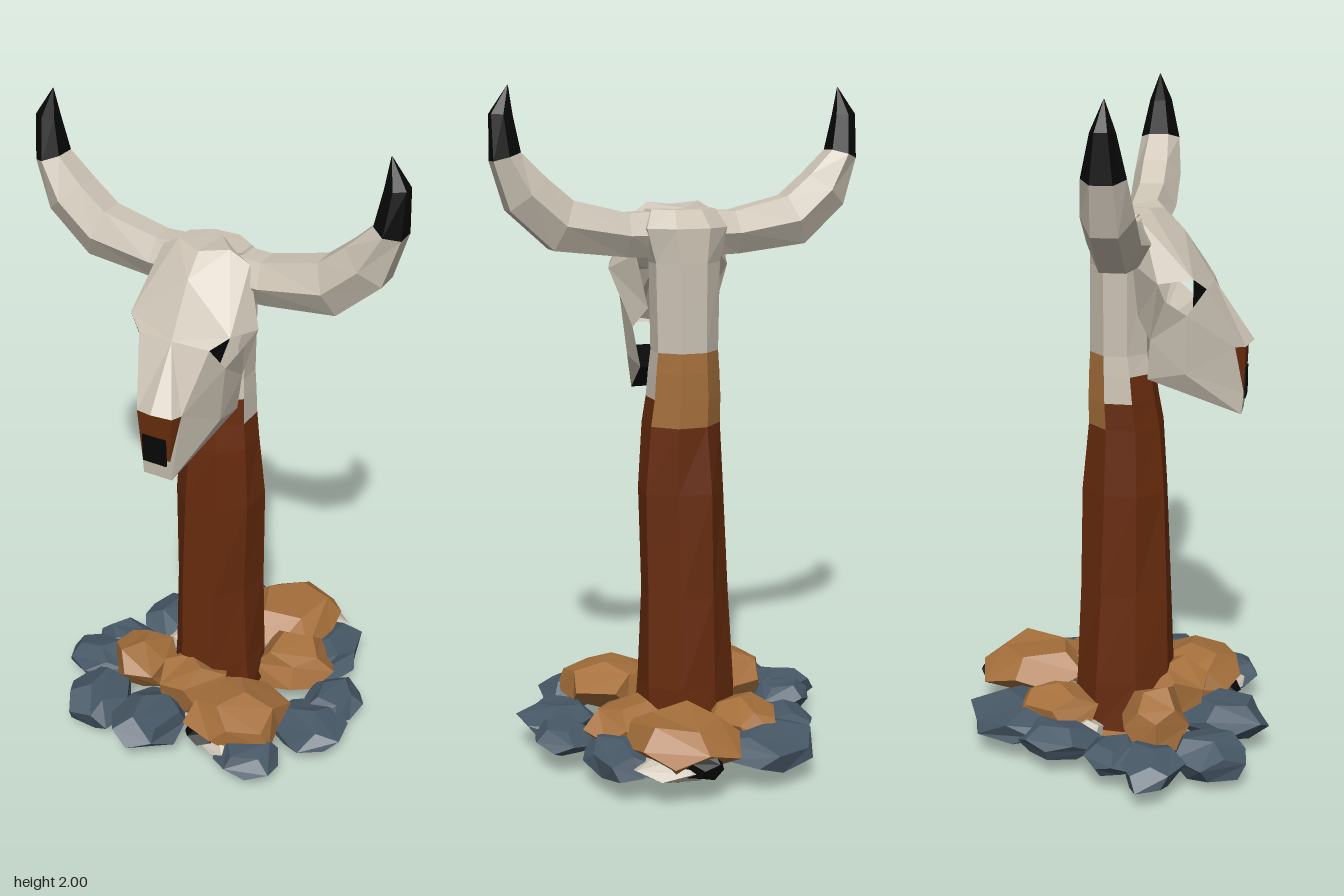
import * as THREE from 'three';

const mat = (name, color, side = THREE.FrontSide) => {
  const m = new THREE.MeshStandardMaterial({ color, flatShading: true, side });
  m.name = name;
  return m;
};

export function createModel() {
  const bone = mat('bone', 0xcbc2b3, THREE.DoubleSide);
  const wood = mat('wood', 0x672b0d);
  const tan = mat('tan stone', 0xa56f3b);
  const slate = mat('slate stone', 0x475866);
  const black = mat('black', 0x070707, THREE.DoubleSide);
  const palette = [bone, wood, tan, slate, black];

  const group = new THREE.Group();
  const add = (name, geometry, material) => {
    const mesh = new THREE.Mesh(geometry, material);
    mesh.name = name;
    group.add(mesh);
    return mesh;
  };

  // Flat-faced geometry from polygons, each { pts, m }, fanned into triangles
  const polygons = (polys) => {
    const pos = [];
    const geo = new THREE.BufferGeometry();
    polys.forEach(({ pts, m }) => {
      const start = pos.length / 3;
      for (let i = 1; i < pts.length - 1; i++) {
        [pts[0], pts[i], pts[i + 1]].forEach((p) => pos.push(p.x, p.y, p.z));
      }
      geo.addGroup(start, pos.length / 3 - start, palette.indexOf(m));
    });
    geo.setAttribute('position', new THREE.Float32BufferAttribute(pos, 3));
    geo.computeVertexNormals();
    return geo;
  };

  // Skin over closed rings of points, with a colour rule per segment and side
  const loft = (rings, colour) => {
    const polys = [];
    const n = rings[0].length;
    for (let i = 0; i < rings.length - 1; i++) {
      for (let j = 0; j < n; j++) {
        const k = (j + 1) % n;
        const a = rings[i], b = rings[i + 1];
        polys.push({ pts: [a[j], a[k], b[k], b[j]], m: colour(i, j) });
      }
    }
    polys.push({ pts: rings[rings.length - 1], m: colour(rings.length - 2, 0) });
    polys.push({ pts: [...rings[0]].reverse(), m: colour(0, 0) });
    return polygons(polys);
  };

  // Eight-sided upright ring
  const flatRing = ([y, cx, cz, rx, rz], i, rough) =>
    Array.from({ length: 8 }, (_, j) => {
      const a = ((j + 0.5) * Math.PI) / 4;
      const k = 1.07 + rough * Math.sin(j * 2.6 + i * 1.1);
      return new THREE.Vector3(cx + Math.sin(a) * rx * k, y, cz + Math.cos(a) * rz * k);
    });

  // Post: rough trunk, then the pale and tan neck that flares into the cranium
  const trunk = [
    [0.06, 0.0, 0.0, 0.14, 0.15], [0.22, 0.0, 0.005, 0.135, 0.145], [0.5, 0.0, 0.01, 0.125, 0.13],
    [0.82, 0.005, 0.012, 0.124, 0.12], [1.02, 0.005, 0.012, 0.11, 0.107],
  ];
  const neck = [
    [1.02, 0.005, 0.012, 0.11, 0.107], [1.1, 0, 0.005, 0.105, 0.1], [1.18, 0, 0.0, 0.1, 0.093],
    [1.24, 0, -0.005, 0.095, 0.085], [1.5, 0, -0.005, 0.1, 0.083], [1.6, 0, 0.0, 0.125, 0.085],
    [1.652, 0, 0.03, 0.1, 0.07],
  ];
  add('post', loft(trunk.map((r, i) => flatRing(r, i, i === 4 ? 0 : 0.06)), () => wood), palette);
  const neckColour = (i, j) => {
    if (j >= 2 && j <= 4) return i < 3 ? tan : bone;
    if (j === 1 || j === 5) return i < 1 ? wood : bone;
    return i < 2 ? wood : bone;
  };
  add('neck', loft(neck.map((r, i) => flatRing(r, i, 0)), neckColour), palette);

  // Horns: six-sided tapering sweeps with black tips
  const hornPath = [
    [0.06, 1.58, 0.07, 0.068], [0.17, 1.58, 0.066, 0.07], [0.36, 1.612, 0.08, 0.073],
    [0.46, 1.7, 0.074, 0.073], [0.518, 1.805, 0.043, 0.06], [0.527, 1.92, 0.032, 0.034], [0.505, 2.0, 0.001, 0.001],
  ];
  [1, -1].forEach((s) => {
    const rings = hornPath.map(([x, y, r, rz], i) => {
      const p = hornPath[Math.max(i - 1, 0)];
      const q = hornPath[Math.min(i + 1, hornPath.length - 1)];
      const d = new THREE.Vector2(s * (q[0] - p[0]), q[1] - p[1]).normalize();
      return Array.from({ length: 6 }, (_, j) => {
        const a = (j * Math.PI) / 3;
        const u = Math.sin(a) * r * 1.1;
        return new THREE.Vector3(s * x + d.y * u, y - d.x * u, 0.037 + Math.cos(a) * rz);
      });
    });
    add(s > 0 ? 'leftHorn' : 'rightHorn', loft(rings, (i) => (i < 4 ? bone : black)), palette);
  });

  // Skull: named points of one half, mirrored across x
  const P = {
    crownBack: [0, 1.655, -0.01], crown: [0.08, 1.67, 0.09], crownMid: [0, 1.66, 0.12],
    root: [0.135, 1.635, 0.08], rootLow: [0.13, 1.52, 0.05],
    forehead: [0, 1.6, 0.18], bridge: [0, 1.455, 0.27], noseTop: [0, 1.285, 0.388],
    browFront: [0.155, 1.485, 0.225], brow: [0.19, 1.475, 0.13],
    eyeBack: [0.155, 1.42, 0.145], eyeLow: [0.13, 1.375, 0.205], eyeFront: [0.11, 1.45, 0.258],
    noseSide: [0.055, 1.275, 0.368], noseRear: [0.068, 1.275, 0.338],
    cheek: [0.125, 1.3, 0.1], jaw: [0.105, 1.18, 0.09],
    muzzle: [0.11, 1.2, 0.2], lip: [0.045, 1.07, 0.358], nostril: [0.045, 1.135, 0.364],
    templeBack: [0.09, 1.36, 0.06], lidInner: [0.122, 1.395, 0.222],
  };
  const halfFaces = [
    'crownBack crown crownMid', 'crownBack root crown', 'crownMid crown forehead', 'crown browFront forehead',
    'crown root browFront', 'root brow browFront', 'root rootLow brow', 'rootLow templeBack brow',
    'forehead browFront bridge', 'browFront eyeFront bridge', 'eyeFront noseRear noseSide bridge',
    'bridge noseSide noseTop', 'eyeFront eyeLow noseRear', 'eyeLow muzzle noseRear', 'eyeLow cheek muzzle',
    'eyeBack cheek eyeLow', 'brow cheek eyeBack', 'brow templeBack cheek', 'cheek jaw muzzle',
    'muzzle lip nostril noseRear', 'muzzle jaw lip',
  ];
  const pt = (name, s) => new THREE.Vector3(P[name][0] * s, P[name][1], P[name][2]);
  const skull = [];
  // Faces are listed clockwise for +x, so that side is reversed
  [1, -1].forEach((s) => {
    const face = (list, m) => {
      const pts = list.split(' ').map((n) => pt(n, s));
      skull.push({ pts: s > 0 ? pts.reverse() : pts, m });
    };
    halfFaces.forEach((f) => face(f, bone));
    face('browFront lidInner eyeFront', black);
    face('noseSide noseRear nostril', wood);
  });
  const across = (a, b, m) => skull.push({ pts: [pt(a, -1), pt(b, -1), pt(b, 1), pt(a, 1)], m });
  across('noseSide', 'nostril', wood);
  across('nostril', 'lip', bone);
  across('lip', 'jaw', black);
  skull.push({ pts: [pt('noseTop', 1), pt('noseSide', -1), pt('noseSide', 1)], m: bone });
  add('skull', polygons(skull), palette);
  const nose = add('nasalOpening', new THREE.BoxGeometry(0.075, 0.085, 0.006), black);
  nose.position.set(-0.003, 1.16, 0.366);

  // Rocks: jittered dodecahedra fitted to given bounds
  const rock = (name, m, seed, [x0, x1, y0, y1, z0, z1]) => {
    const g = new THREE.DodecahedronGeometry(1);
    g.rotateX(seed * 1.7).rotateY(seed * 2.3);
    const p = g.attributes.position;
    const v = new THREE.Vector3();
    for (let i = 0; i < p.count; i++) {
      v.fromBufferAttribute(p, i);
      v.multiplyScalar(1 + 0.1 * Math.sin(v.x * 5 + v.y * 7 + v.z * 3 + seed));
      p.setXYZ(i, v.x, v.y, v.z);
    }
    g.computeBoundingBox();
    const { min, max } = g.boundingBox;
    g.translate(-min.x, -min.y, -min.z);
    g.scale((x1 - x0) / (max.x - min.x), (y1 - y0) / (max.y - min.y), (z1 - z0) / (max.z - min.z));
    g.translate(x0, y0, z0);
    g.computeVertexNormals();
    add(name, g, m);
  };
  [
    [-0.29, 0.02, 0.04, 0.15, -0.46, -0.11], [-0.36, -0.14, 0.04, 0.14, -0.28, -0.03],
    [-0.5, -0.25, 0.02, 0.14, 0.05, 0.25], [-0.44, -0.24, 0.05, 0.14, -0.06, 0.12],
    [-0.39, -0.16, 0.02, 0.14, 0.2, 0.42], [-0.19, 0.04, 0.04, 0.16, 0.2, 0.47],
    [0.16, 0.37, 0.05, 0.14, 0.22, 0.41], [0.25, 0.5, 0.05, 0.14, -0.02, 0.24],
    [0.31, 0.49, 0.05, 0.14, -0.15, 0.07], [0.19, 0.39, 0.05, 0.15, -0.38, -0.1],
  ].forEach((b, i) => rock('slateRock', slate, i + 1, b));
  [
    [-0.05, 0.27, 0.07, 0.22, -0.47, -0.12], [-0.23, -0.01, 0.05, 0.2, -0.31, -0.05],
    [0.1, 0.36, 0.05, 0.21, -0.23, 0.02], [0.03, 0.33, 0.07, 0.22, 0.06, 0.36],
    [-0.31, -0.09, 0.05, 0.25, 0.03, 0.24], [-0.13, 0.1, 0.04, 0.25, 0.04, 0.27],
    [-0.17, 0.2, 0.0, 0.12, -0.14, 0.2],
  ].forEach((b, i) => rock('tanRock', tan, i + 20, b));

  // Pale and black chips at the edges of the rocks
  rock('paleChip', bone, 41, [0.04, 0.29, 0.06, 0.145, -0.468, -0.24]);
  rock('blackChip', black, 42, [0.04, 0.17, 0.08, 0.16, -0.48, -0.38]);
  rock('paleChip', bone, 43, [0.11, 0.28, 0.065, 0.135, 0.2, 0.37]);
  rock('blackChip', black, 44, [0.05, 0.17, 0.08, 0.135, 0.24, 0.366]);
  rock('paleChip', bone, 45, [-0.24, -0.14, 0.05, 0.12, -0.13, -0.03]);
  rock('paleChip', bone, 46, [-0.05, 0.06, 0.03, 0.08, 0.12, 0.24]);
  return group;
}
